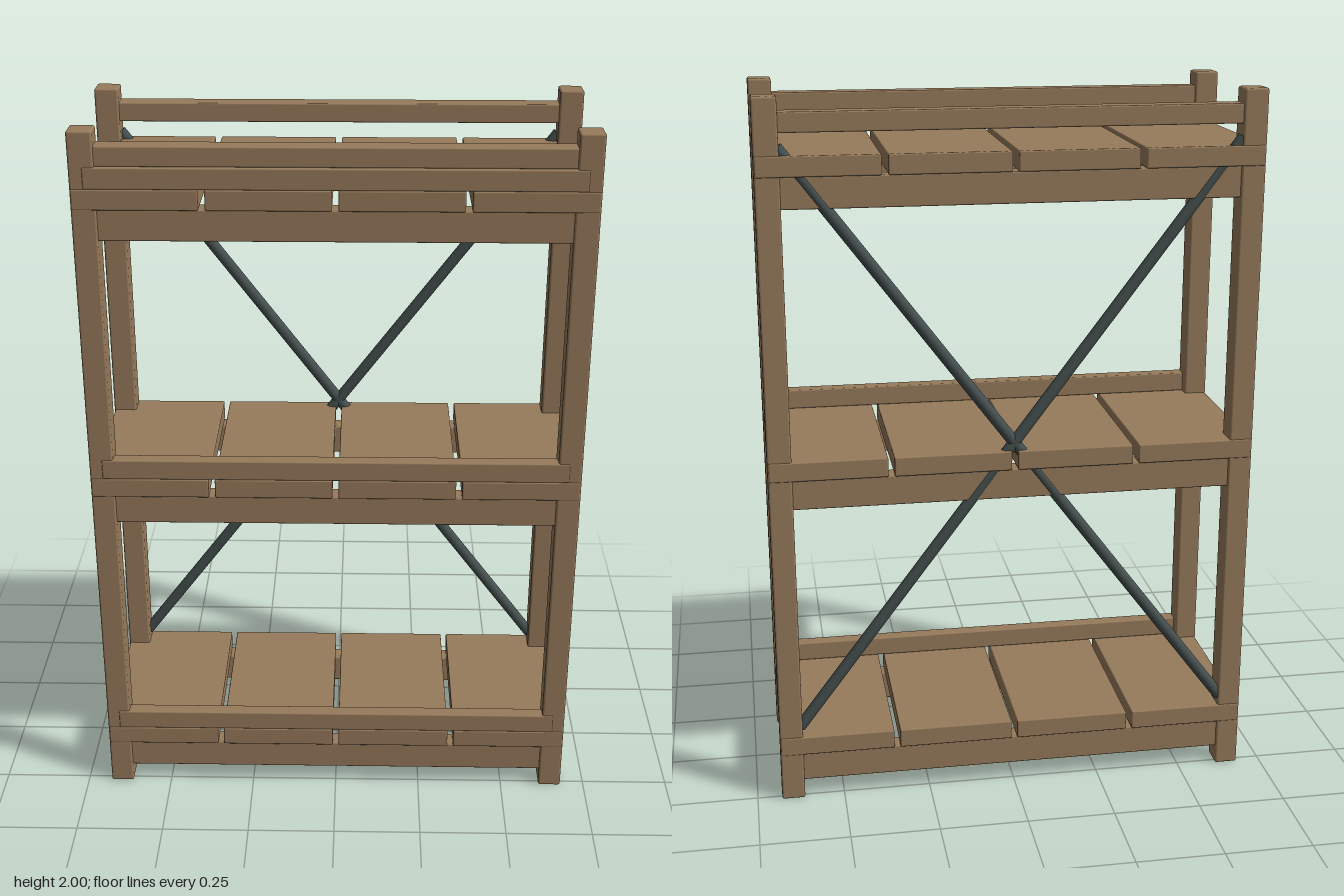
import * as THREE from 'three';
import { RoundedBoxGeometry } from 'three/addons/geometries/RoundedBoxGeometry.js';

export function createModel() {
  const model = new THREE.Group();
  model.name = 'shelvingRack';

  const wood = new THREE.MeshStandardMaterial({ color: 0x987c5c });
  wood.name = 'wood';
  const steel = new THREE.MeshStandardMaterial({ color: 0x465050 });
  steel.name = 'darkSteel';

  // Softly bevelled timber spanning the given limits
  function timber(name, [x0, x1], [y0, y1], [z0, z1], bevel = 0.004) {
    const geometry = new RoundedBoxGeometry(x1 - x0, y1 - y0, z1 - z0, 2, bevel);
    const mesh = new THREE.Mesh(geometry, wood);
    mesh.name = name;
    mesh.position.set((x0 + x1) / 2, (y0 + y1) / 2, (z0 + z1) / 2);
    model.add(mesh);
  }

  const span = (centre, size) => [centre - size / 2, centre + size / 2];
  const railX = [-0.62, 0.62];
  const postZ = 0.235;

  // Corner posts
  for (const x of [-1, 1]) {
    for (const z of [-1, 1]) {
      const name = (z > 0 ? 'front' : 'back') + (x > 0 ? 'Left' : 'Right') + 'Post';
      timber(name, span(x * 0.647, 0.066), [0, 2], span(z * postZ, 0.07), 0.006);
    }
  }

  // Three shelves: planks, bearer rails beneath, front lip on top
  const pitch = 0.343;
  for (const y of [0.14, 0.97, 1.795]) {
    for (let i = 0; i < 4; i++) {
      timber('shelfPlank', span((i - 1.5) * pitch, 0.326), [y, y + 0.055], [-0.2725, 0.2725]);
    }
    for (const z of [-postZ, postZ]) {
      timber('bearerRail', railX, [y - 0.085, y], span(z, 0.055));
    }
    timber('frontLip', [-0.645, 0.645], [y + 0.055, y + 0.112], [0.2325, 0.2725]);
  }

  // Guard rails at the top
  for (const z of [-postZ, postZ]) {
    timber('guardRail', railX, [1.907, 1.96], span(z, 0.055));
  }

  // Crossed braces at the back
  for (const side of [-1, 1]) {
    const from = new THREE.Vector3(-0.62 * side, 0.22, -0.25);
    const to = new THREE.Vector3(0.62 * side, 1.87, -0.25);
    const along = to.clone().sub(from);
    const brace = new THREE.Mesh(new THREE.CylinderGeometry(0.0165, 0.0165, along.length(), 12), steel);
    brace.name = side > 0 ? 'risingLeftBrace' : 'risingRightBrace';
    brace.position.copy(from).add(to).multiplyScalar(0.5);
    brace.quaternion.setFromUnitVectors(new THREE.Vector3(0, 1, 0), along.normalize());
    model.add(brace);
  }

  return model;
}
